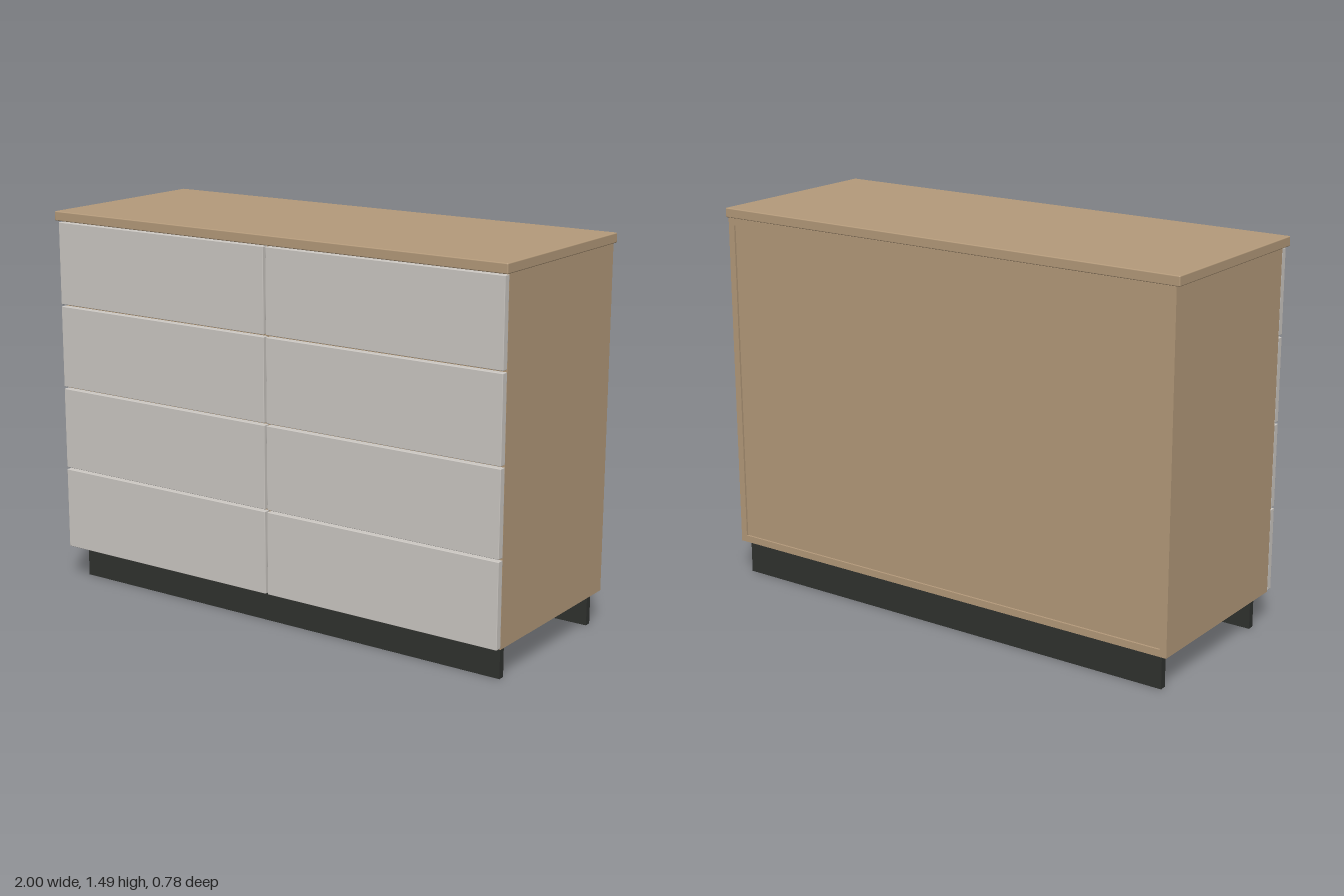
import * as THREE from 'three';
import { RoundedBoxGeometry } from 'three/addons/geometries/RoundedBoxGeometry.js';

const wood = new THREE.MeshStandardMaterial({ color: 0xb59b7b });
const frontPaint = new THREE.MeshStandardMaterial({ color: 0xcdc9c4 });
const black = new THREE.MeshStandardMaterial({ color: 0x30322f });

export function createModel() {
  const model = new THREE.Group();
  model.name = 'chestOfDrawers';

  // Box panel given by its min and max corners, with optional softened edges
  function panel(name, material, [x0, y0, z0], [x1, y1, z1], radius = 0) {
    const size = [x1 - x0, y1 - y0, z1 - z0];
    const geometry = radius
      ? new RoundedBoxGeometry(...size, 2, radius)
      : new THREE.BoxGeometry(...size);
    const mesh = new THREE.Mesh(geometry, material);
    mesh.name = name;
    mesh.position.set((x0 + x1) / 2, (y0 + y1) / 2, (z0 + z1) / 2);
    model.add(mesh);
  }

  const w = 0.987, t = 0.027;           // half width of the carcass, board thickness
  const bottom = 0.132, top = 1.449;
  const back = -0.388, front = 0.354;

  // Worktop
  panel('worktop', wood, [-1, top, -0.39], [1, 1.486, 0.388], 0.004);

  // Carcass: sides, floor, ceiling, divider and a slightly recessed back
  panel('rightSide', wood, [-w, bottom, back], [-w + t, top, front]);
  panel('leftSide', wood, [w - t, bottom, back], [w, top, front]);
  panel('floorPanel', wood, [-w + t, bottom, back], [w - t, bottom + t, front]);
  panel('ceilingPanel', wood, [-w + t, top - t, back], [w - t, top, front]);
  panel('backPanel', wood, [-w + t, bottom + t, back + 0.008], [w - t, top - t, back + 0.02]);
  panel('centreDivider', wood, [-t / 2, bottom + t, back + 0.02], [t / 2, top - t, front]);

  // Drawer fronts: two columns of four, with rails behind the gaps
  const pitch = 0.3287, height = 0.32, first = 0.137;
  for (let row = 0; row < 4; row++) {
    const y = first + row * pitch;
    for (const [side, x0, x1] of [['right', -w, -0.005], ['left', 0.005, w]]) {
      panel(`${side}DrawerFront${row + 1}`, frontPaint, [x0, y, front], [x1, y + height, 0.381], 0.002);
      if (row > 0) {
        const inner = side === 'right' ? [-w + t, -t / 2] : [t / 2, w - t];
        panel(`${side}Rail${row}`, wood, [inner[0], y - 0.018, 0.28], [inner[1], y + 0.009, front - 0.002]);
      }
    }
  }

  // Plinth boards, front and rear
  panel('frontPlinth', black, [-0.957, 0, 0.278], [0.957, bottom, 0.304]);
  panel('rearPlinth', black, [-0.957, 0, -0.366], [0.957, bottom, -0.34]);

  return model;
}
